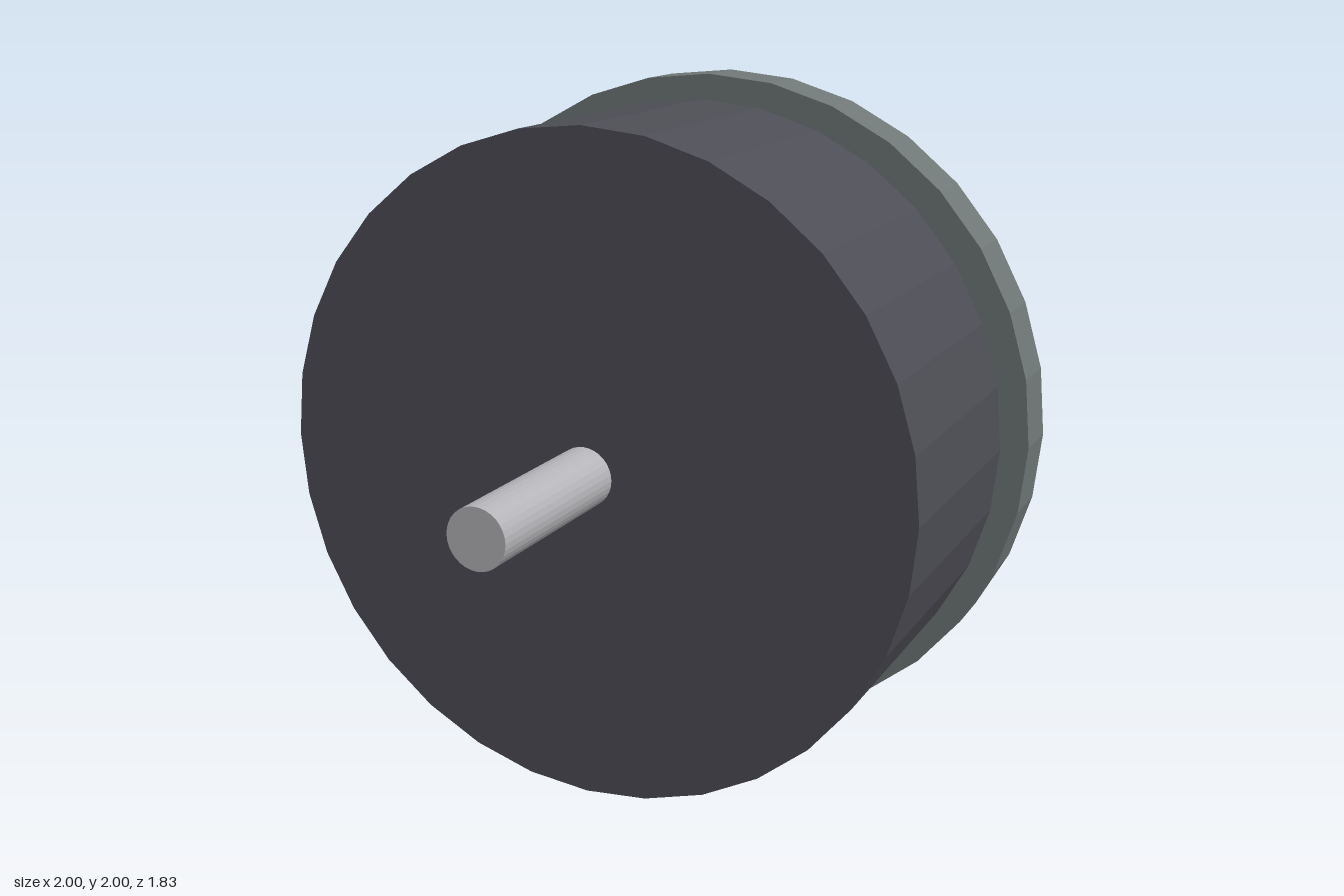
import * as THREE from 'three';

export function createModel() {
  const group = new THREE.Group();
  const SIDES = 32;
  const AXIS_Y = 1;

  const material = (name, color) => {
    const m = new THREE.MeshStandardMaterial({ color, flatShading: true });
    m.name = name;
    return m;
  };
  const darkGrey = material('dark grey', 0x4d4d55);
  const slateGrey = material('slate grey', 0x6e7676);
  const steel = material('light steel', 0xb4b4b8);

  // Cylinder lying along z, from zBack to zFront
  const addDisc = (name, radius, zBack, zFront, mat) => {
    const geometry = new THREE.CylinderGeometry(radius, radius, zFront - zBack, SIDES);
    geometry.rotateX(Math.PI / 2);
    const mesh = new THREE.Mesh(geometry, mat);
    mesh.name = name;
    mesh.position.set(0, AXIS_Y, (zBack + zFront) / 2);
    group.add(mesh);
  };

  // Wide drum, thin flange behind it, and the shaft through both
  addDisc('drum', 0.932, -0.367, 0.367, darkGrey);
  addDisc('flange', 1, -0.582, -0.417, slateGrey);
  addDisc('shaft', 0.083, -0.916, 0.916, steel);

  return group;
}
